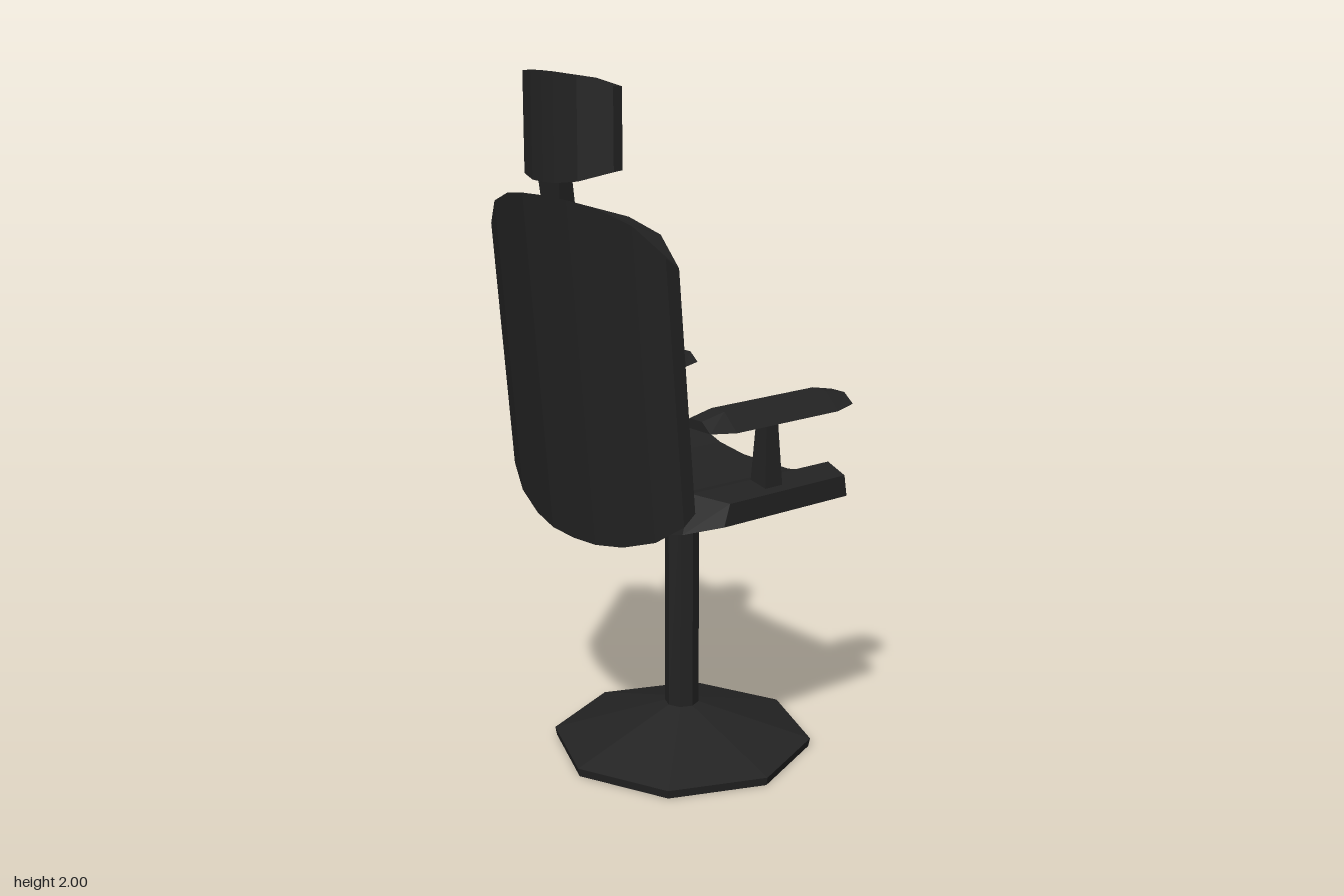
import * as THREE from 'three';

const charcoal = new THREE.MeshStandardMaterial({ color: 0x232323, flatShading: true });
charcoal.name = 'charcoal';

// Skins a row of four-cornered rings (clockwise seen from the last ring) and caps the ends.
function loft(rings) {
  const pos = rings.flat(2), idx = [];
  const quad = (a, b, c, d) => idx.push(a, b, c, a, c, d);
  for (let k = 0; k < rings.length - 1; k++)
    for (let i = 0; i < 4; i++) {
      const j = (i + 1) % 4, a = k * 4, b = a + 4;
      quad(a + i, b + i, b + j, a + j);
    }
  const e = (rings.length - 1) * 4;
  quad(0, 1, 2, 3);
  quad(e, e + 3, e + 2, e + 1);
  let g = new THREE.BufferGeometry();
  g.setAttribute('position', new THREE.Float32BufferAttribute(pos, 3));
  g.setIndex(idx);
  g = g.toNonIndexed();
  g.computeVertexNormals();
  return g;
}

// Mirrored cushion: each column is [x, (z, y) of rear bottom, rear top, front top, front bottom].
function cushion(cols) {
  const ring = (s) => ([x, ...p]) => [0, 2, 4, 6].map((i) => [s * x, p[i + 1], p[i]]);
  return loft([...cols.slice(1).reverse().map(ring(-1)), ...cols.map(ring(1))]);
}

export function createModel() {
  const group = new THREE.Group();
  const add = (name, geometry, x = 0, y = 0, z = 0) => {
    const m = new THREE.Mesh(geometry, charcoal);
    m.name = name;
    m.position.set(x, y, z);
    group.add(m);
    return m;
  };
  const axisZ = -0.045;

  // Octagonal pedestal
  add('baseRim', new THREE.CylinderGeometry(0.385, 0.38, 0.025, 8), 0, 0.0125, axisZ);
  add('baseCone', new THREE.CylinderGeometry(0.05, 0.385, 0.105, 8, 1, true), 0, 0.0775, axisZ);
  add('column', new THREE.CylinderGeometry(0.05, 0.05, 0.65, 8), 0, 0.435, axisZ);

  // Scooped seat with raised sides
  add('seat', cushion([
    [0, 0.22, 0.745, 0.215, 0.82, -0.37, 0.815, -0.37, 0.745],
    [0.1, 0.22, 0.745, 0.215, 0.82, -0.37, 0.815, -0.367, 0.747],
    [0.2, 0.215, 0.758, 0.205, 0.84, -0.36, 0.835, -0.36, 0.758],
    [0.3, 0.2, 0.78, 0.17, 0.89, -0.337, 0.888, -0.345, 0.78],
    [0.39, 0.13, 0.81, 0.11, 0.872, -0.315, 0.872, -0.325, 0.81],
  ]));

  // Curved, leaning backrest: [x, rear z, front z, bottom y, top y], z taken at the lower edge
  const lean = (y) => 0.085 * (y - 0.74);
  add('backrest', cushion([
    [0, 0.345, 0.25, 0.725, 1.68],
    [0.1, 0.343, 0.25, 0.73, 1.677],
    [0.2, 0.325, 0.222, 0.745, 1.665],
    [0.31, 0.297, 0.208, 0.782, 1.63],
    [0.393, 0.262, 0.222, 0.84, 1.555],
  ].map(([x, r, f, b, t]) => [x, r + lean(b), b, r + lean(t), t,
    f + lean(t - 0.03), t - 0.03, f + lean(b + 0.03), b + 0.03])));

  // Neck and headrest
  add('neck', loft([-1, 1].map((s) => [
    [s * 0.04, 1.64, 0.4], [s * 0.05, 1.75, 0.41], [s * 0.05, 1.75, 0.37], [s * 0.04, 1.64, 0.35],
  ])));
  add('headrest', cushion([
    [0, 0.425, 1.715, 0.425, 2, 0.365, 1.99, 0.365, 1.735],
    [0.05, 0.423, 1.716, 0.423, 1.999, 0.364, 1.989, 0.364, 1.736],
    [0.12, 0.4, 1.725, 0.4, 1.993, 0.337, 1.983, 0.337, 1.742],
    [0.2, 0.345, 1.752, 0.345, 1.967, 0.317, 1.965, 0.317, 1.755],
  ]));

  // Armrests: [z, bottom half width, top half width, bottom y, top y]
  const pad = loft([
    [-0.333, 0.06, 0.025, 1.078, 1.105],
    [-0.26, 0.078, 0.026, 1.072, 1.12],
    [0.11, 0.078, 0.026, 1.072, 1.12],
    [0.186, 0.06, 0.025, 1.078, 1.105],
  ].map(([z, w, t, b, h]) => [[-w, b, z], [-t, h, z], [t, h, z], [w, b, z]]));
  const post = new THREE.CylinderGeometry(0.028, 0.047, 0.24, 4, 1).rotateY(Math.PI / 4);
  for (const [side, s] of [['left', 1], ['right', -1]]) {
    add(side + 'Armrest', pad, s * 0.337, 0, 0);
    add(side + 'ArmPost', post, s * 0.33, 0.96, -0.073);
  }
  return group;
}
